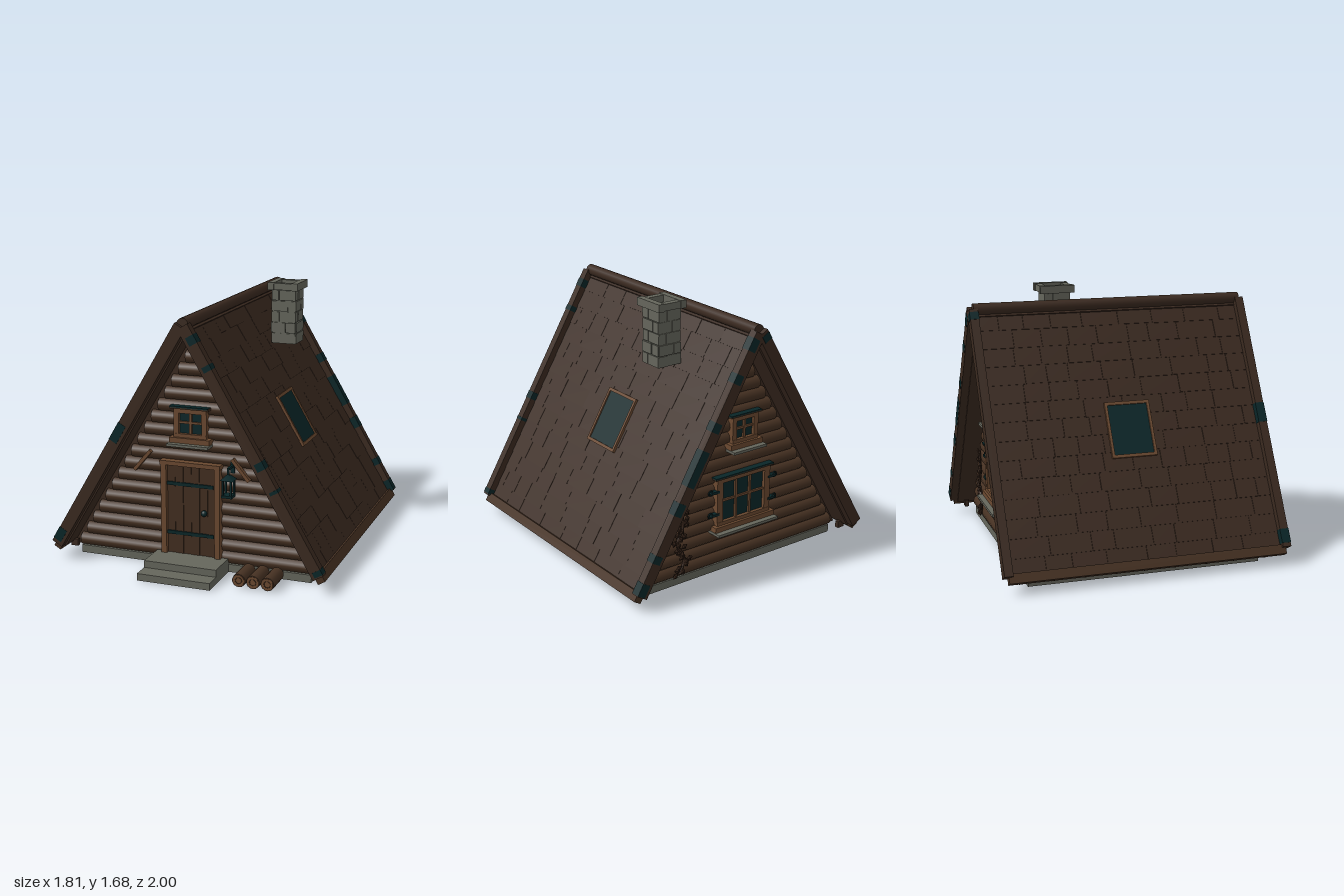
import * as THREE from 'three';
import { mergeGeometries } from 'three/addons/utils/BufferGeometryUtils.js';

const material = (name, color) => Object.assign(new THREE.MeshStandardMaterial({ color }), { name });
const M = {
  roof: material('roof wood', 0x3b2a20),
  log: material('log wood', 0x463122),
  door: material('door wood', 0x432e20),
  trim: material('trim wood', 0x6b4930),
  teal: material('dark teal', 0x092628),
  stone: material('stone', 0x65665c),
  vine: material('vine', 0x332218),
};

// small seeded random number source
let seed = 7;
const rand = (a, b) => {
  seed = (seed * 16807) % 2147483647;
  return a + (b - a) * (seed / 2147483647);
};

function add(parent, name, geometry, mat, x = 0, y = 0, z = 0) {
  const m = new THREE.Mesh(geometry, mat);
  m.name = name;
  m.position.set(x, y, z);
  parent.add(m);
  return m;
}
// box given by its limits on each axis
const span = (parent, name, mat, x0, x1, y0, y1, z0, z1) =>
  add(parent, name, new THREE.BoxGeometry(x1 - x0, y1 - y0, z1 - z0), mat, (x0 + x1) / 2, (y0 + y1) / 2, (z0 + z1) / 2);
const group = (parent, name) => {
  const g = new THREE.Group();
  g.name = name;
  parent.add(g);
  return g;
};
const logX = (r, len) => new THREE.CylinderGeometry(r, r, len, 12).rotateZ(Math.PI / 2);
const logZ = (r, len) => new THREE.CylinderGeometry(r, r, len, 14).rotateX(Math.PI / 2);

const SLOPE = Math.atan2(0.507, 0.862);

// one roof side: local y runs up the slope, local x is out of the surface
function roofSide(parent, s) {
  const g = group(parent, s > 0 ? 'leftRoof' : 'rightRoof');
  g.position.y = 1.653;
  g.rotation.z = s * SLOPE;
  const slab = (name, mat, n0, n1, d0, d1, z0, z1) =>
    add(g, name, new THREE.BoxGeometry(n1 - n0, d1 - d0, z1 - z0), mat, (s * (n0 + n1)) / 2, -(d0 + d1) / 2, (z0 + z1) / 2);
  slab('roofDeck', M.roof, -0.085, -0.05, 0.09, 1.78, -0.95, 0.79);

  // overlapping courses of thin shingles
  const shingles = [];
  const pitch = 0.121;
  for (let i = 0; i < 14; i++) {
    let z = -0.95;
    while (z < 0.789) {
      let end = Math.min(0.79, z + rand(0.13, 0.27));
      if (0.79 - end < 0.06) end = 0.79;
      const lift = rand(-0.001, 0.001);
      shingles.push(new THREE.BoxGeometry(0.008, 0.128 + rand(0, 0.008), end - z - 0.002)
        .rotateZ(s * 0.03)
        .translate(s * (-0.047 + lift), -(0.15 + i * pitch), (z + end) / 2));
      z = end;
    }
  }
  add(g, 'shingles', mergeGeometries(shingles), M.roof);

  // barge boards with mossy patches wrapped round them
  slab('frontBargeBoard', M.roof, -0.075, 0, 0.08, 1.775, 0.785, 0.84);
  slab('backBargeBoard', M.roof, -0.075, 0, 0.08, 1.775, -1, -0.945);
  const patches = s > 0
    ? { front: [[0.15, 0.205], [0.35, 0.385], [1.0, 1.05], [1.19, 1.21], [1.73, 1.765]],
        back: [[0.12, 0.2], [0.35, 0.41], [0.66, 0.72], [0.84, 1.07], [1.175, 1.255], [1.51, 1.56], [1.69, 1.77]] }
    : { front: [[0.82, 0.95], [1.66, 1.75]], back: [[0.1, 0.15]] };
  patches.front.forEach(([a, b]) => slab('mossPatch', M.teal, -0.055, 0.002, a, b, 0.783, 0.842));
  patches.back.forEach(([a, b]) => slab('mossPatch', M.teal, -0.055, 0.002, a, b, -1.0015, -0.943));

  // skylight
  slab('skylightFrame', M.trim, -0.06, -0.026, 0.74, 0.76, -0.22, 0.075);
  slab('skylightFrame', M.trim, -0.06, -0.026, 1.085, 1.105, -0.22, 0.075);
  slab('skylightFrame', M.trim, -0.06, -0.026, 0.76, 1.085, -0.22, -0.202);
  slab('skylightFrame', M.trim, -0.06, -0.026, 0.76, 1.085, 0.057, 0.075);
  slab('skylightGlass', M.teal, -0.042, -0.035, 0.76, 1.085, -0.202, 0.057);

  // eave beam and rafter tails
  slab('eaveBeam', M.log, -0.07, -0.02, 1.755, 1.815, -0.97, 0.81);
  for (let z = -0.89; z < 0.75; z += 0.196) span(parent, 'rafterTail', M.roof, s * 0.82 - 0.025, s * 0.82 + 0.025, 0.046, 0.09, z - 0.013, z + 0.013);
}

// framed window facing +z, with muntins, mossy lintel and stone sill
function windowUnit(parent, name, y0, y1, w, cols, t) {
  const g = group(parent, name);
  const h = w / 2;
  span(g, 'glass', M.teal, -h + 0.01, h - 0.01, y0 + 0.01, y1 - 0.01, 0.036, 0.045);
  for (const s of [-1, 1]) span(g, 'windowJamb', M.trim, s * (h - t / 2) - t / 2, s * (h - t / 2) + t / 2, y0, y1, 0, 0.066);
  span(g, 'windowHead', M.trim, -h, h, y1 - 0.028, y1, 0, 0.068);
  span(g, 'windowFoot', M.trim, -h, h, y0 - 0.005, y0 + 0.018, 0, 0.068);
  for (let i = 1; i < cols; i++) {
    const mx = -h + t + ((w - 2 * t) * i) / cols;
    span(g, 'muntin', M.trim, mx - 0.008, mx + 0.008, y0, y1, 0.04, 0.058);
  }
  const my = (y0 + y1) / 2;
  span(g, 'muntin', M.trim, -h, h, my - 0.007, my + 0.007, 0.04, 0.057);
  span(g, 'woodSill', M.trim, -h - 0.025, h + 0.025, y0 - 0.038, y0 - 0.005, 0, 0.085);
  span(g, 'stoneSill', M.stone, -h - 0.028, h + 0.028, y0 - 0.055, y0 - 0.038, 0, 0.12);
  span(g, 'lintel', M.log, -h - 0.02, h + 0.02, y1, y1 + 0.014, 0, 0.078);
  span(g, 'lintelMoss', M.teal, -h - 0.022, h + 0.015, y1 + 0.008, y1 + 0.017, 0.01, 0.081);
}

// log gable wall facing +z
function gable(parent, name) {
  const g = group(parent, name);
  const tri = new THREE.Shape([[-0.845, 0.05], [0.845, 0.05], [0, 1.51]].map(p => new THREE.Vector2(...p)));
  add(g, 'gablePanel', new THREE.ExtrudeGeometry(tri, { depth: 0.03, bevelEnabled: false }), M.roof, 0, 0, -0.03);
  for (let i = 0; i < 17; i++) {
    const y = 0.09 + i * 0.0785;
    const half = (1.5 - y) / 1.7 - 0.05;
    add(g, 'wallLog', logX(0.041, 2 * half), M.log, 0, y, 0);
  }
  return g;
}

function door(parent) {
  const g = group(parent, 'door');
  for (let i = 0; i < 6; i++) {
    const x = -0.162 + i * 0.054;
    span(g, 'doorPlank', M.door, x + 0.001, x + 0.053, 0.09, 0.67, 0, 0.048 + (i % 2) * 0.003);
  }
  for (const s of [-1, 1]) span(g, 'doorJamb', M.trim, s * 0.178 - 0.018, s * 0.178 + 0.018, 0.09, 0.675, 0, 0.075);
  span(g, 'doorLintel', M.trim, -0.2, 0.2, 0.668, 0.695, 0, 0.082);
  for (const y of [0.225, 0.545]) span(g, 'strapHinge', M.teal, -0.16, 0.148, y - 0.011, y + 0.011, 0.045, 0.058);
  add(g, 'doorKnob', new THREE.SphereGeometry(0.02, 12, 8), M.teal, 0.09, 0.375, 0.066);
}

function lantern(parent) {
  const g = group(parent, 'lantern');
  g.position.set(0.27, 0, 0.12);
  span(g, 'bracketPlate', M.teal, -0.012, 0.012, 0.65, 0.72, -0.085, -0.073);
  span(g, 'bracketArm', M.teal, -0.007, 0.007, 0.69, 0.704, -0.08, 0.008);
  span(g, 'hanger', M.teal, -0.006, 0.006, 0.65, 0.7, -0.006, 0.006);
  add(g, 'lanternRoof', new THREE.ConeGeometry(0.058, 0.04, 4).rotateY(Math.PI / 4), M.teal, 0, 0.65, 0);
  span(g, 'lanternBase', M.teal, -0.035, 0.035, 0.52, 0.536, -0.035, 0.035);
  for (const x of [-1, 1]) for (const z of [-1, 1])
    span(g, 'lanternPost', M.teal, x * 0.027 - 0.006, x * 0.027 + 0.006, 0.53, 0.635, z * 0.027 - 0.006, z * 0.027 + 0.006);
}

function chimney(parent) {
  const g = group(parent, 'chimney');
  g.position.set(0.268, 0, -0.375);
  span(g, 'chimneyCore', M.stone, -0.076, 0.076, 1.27, 1.63, -0.078, 0.078);
  // two rough stones to each face of each course
  for (let i = 0; i < 5; i++) {
    const y = 1.272 + i * 0.072;
    for (let f = 0; f < 4; f++) {
      const face = group(g, 'chimneyFace');
      face.rotation.y = (f * Math.PI) / 2;
      const cut = (i % 2 ? 0.025 : -0.025) + rand(-0.012, 0.012);
      span(face, 'chimneyStone', M.stone, -0.082, cut - 0.003, y, y + 0.067, 0.05, 0.08 + rand(0, 0.009));
      span(face, 'chimneyStone', M.stone, cut + 0.003, 0.082, y, y + 0.067, 0.05, 0.08 + rand(0, 0.009));
    }
  }
  for (const s of [-1, 1]) {
    span(g, 'capSide', M.stone, s * 0.082 - 0.021, s * 0.082 + 0.021, 1.63, 1.68, -0.113, 0.113);
    span(g, 'capEnd', M.stone, -0.1, 0.1, 1.632, 1.676, s * 0.086 - 0.021, s * 0.086 + 0.021);
  }
}

export function createModel() {
  const model = new THREE.Group();
  model.name = 'cabin';

  // stone base and steps
  span(model, 'foundation', M.stone, -0.775, 0.775, 0, 0.05, -0.83, 0.67);
  span(model, 'lowerStep', M.stone, -0.238, 0.238, 0, 0.045, 0.67, 1);
  span(model, 'upperStep', M.stone, -0.238, 0.238, 0.045, 0.09, 0.64, 0.89);

  // roof
  for (const s of [-1, 1]) roofSide(model, s);
  add(model, 'ridgeLog', logZ(0.037, 1.785), M.roof, 0, 1.575, -0.078);
  chimney(model);

  // front wall
  const front = gable(model, 'frontWall');
  front.position.z = 0.64;
  door(front);
  lantern(front);
  windowUnit(front, 'frontWindow', 0.855, 1.03, 0.215, 2, 0.033);
  for (const s of [-1, 1]) {
    const b = add(front, 'brace', new THREE.BoxGeometry(0.022, 0.17, 0.03), M.trim, s * 0.325, 0.675, 0.05);
    b.rotation.z = s * 0.7;
  }

  // back wall
  const back = gable(model, 'backWall');
  back.position.z = -0.805;
  back.rotation.y = Math.PI;
  windowUnit(back, 'upperBackWindow', 0.855, 1.02, 0.2, 2, 0.033);
  windowUnit(back, 'lowerBackWindow', 0.335, 0.64, 0.42, 3, 0.045);
  for (const s of [-1, 1]) for (const y of [0.41, 0.56]) {
    span(back, 'windowHinge', M.teal, s * 0.225 - 0.03, s * 0.225 + 0.03, y - 0.008, y + 0.008, 0.035, 0.07);
    add(back, 'hingeScroll', new THREE.TorusGeometry(0.016, 0.005, 6, 10), M.teal, s * 0.255, y, 0.055);
  }

  // climbing vine
  const vine = group(back, 'vine');
  const path = new THREE.CatmullRomCurve3([[-0.48, 0.08], [-0.45, 0.18], [-0.5, 0.29], [-0.46, 0.4], [-0.48, 0.53]]
    .map(([x, y]) => new THREE.Vector3(x, y, 0.048)));
  add(vine, 'vineStem', new THREE.TubeGeometry(path, 24, 0.009, 6), M.vine);
  for (let i = 0; i < 26; i++) {
    const p = path.getPoint(i / 25);
    const leaf = add(vine, 'vineLeaf', new THREE.OctahedronGeometry(0.025), M.vine, p.x + rand(-0.04, 0.04), p.y, p.z + 0.008);
    leaf.scale.set(1, 0.8, 0.4);
    leaf.rotation.z = rand(0, 3);
  }

  // firewood with growth rings
  for (const x of [0.39, 0.48, 0.572]) {
    const wood = group(model, 'firewoodLog');
    wood.position.set(x, 0.05, 0);
    add(wood, 'bark', logZ(0.042, 0.19), M.log, 0, 0, 0.81);
    for (const s of [-1, 1]) {
      add(wood, 'cutEnd', logZ(0.036, 0.003), M.trim, 0, 0, 0.81 + s * 0.0955);
      add(wood, 'growthRing', new THREE.TorusGeometry(0.02, 0.002, 4, 18), M.log, 0, 0, 0.81 + s * 0.097);
    }
  }
  return model;
}
